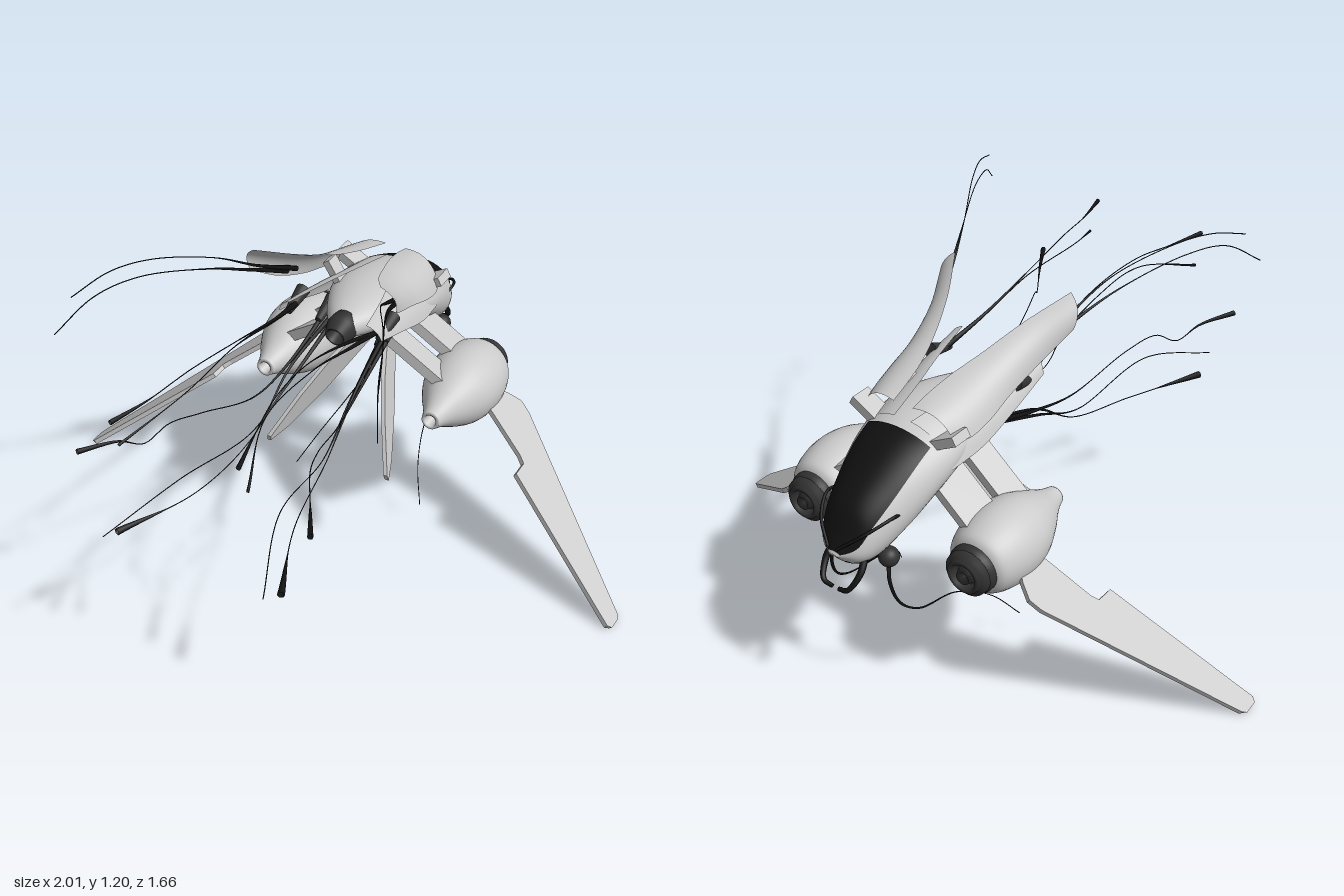
import * as THREE from 'three';

const V = (p) => new THREE.Vector3(...p);
const spline = (pts) => new THREE.CatmullRomCurve3(pts.map(V));
const grey = new THREE.MeshStandardMaterial({ color: 0xcccccc, side: THREE.DoubleSide });
const dark = new THREE.MeshStandardMaterial({ color: 0x111111, side: THREE.DoubleSide });
const iron = new THREE.MeshStandardMaterial({ color: 0x333333, side: THREE.DoubleSide });

// Smooth surface from a rule f(u, v) -> [x, y, z]
function surface(nu, nv, f) {
  const pos = [], idx = [];
  for (let i = 0; i <= nu; i++) for (let j = 0; j <= nv; j++) pos.push(...f(i / nu, j / nv));
  for (let i = 0; i < nu; i++) for (let j = 0; j < nv; j++) {
    const a = i * (nv + 1) + j, b = a + nv + 1;
    idx.push(a, b, a + 1, b, b + 1, a + 1);
  }
  const g = new THREE.BufferGeometry();
  g.setAttribute('position', new THREE.Float32BufferAttribute(pos, 3));
  g.setIndex(idx);
  g.computeVertexNormals();
  return g;
}

// Mirror a geometry across x = 0, keeping faces outward
function mirrored(geo) {
  const g = geo.clone().scale(-1, 1, 1);
  const n = g.attributes.position.count;
  const src = g.index ? Array.from(g.index.array) : Array.from({ length: n }, (_, i) => i);
  for (let i = 0; i < src.length; i += 3) [src[i], src[i + 1]] = [src[i + 1], src[i]];
  g.setIndex(src);
  return g;
}

// Flat plate: outline in (u, v), bent into place by map(u, v, thickness)
function plate(outline, thick, map) {
  const shape = new THREE.Shape(outline.map(([u, v]) => new THREE.Vector2(u, v)));
  const g = new THREE.ExtrudeGeometry(shape, { depth: thick, bevelEnabled: false });
  const p = g.attributes.position;
  for (let i = 0; i < p.count; i++) p.setXYZ(i, ...map(p.getX(i), p.getY(i), p.getZ(i) - thick / 2));
  g.computeVertexNormals();
  return g;
}

// Tube whose radius follows radius(t)
function taperTube(pts, radius, n = 48, sides = 6) {
  const curve = spline(pts);
  const g = new THREE.TubeGeometry(curve, n, 1, sides);
  const p = g.attributes.position, q = new THREE.Vector3();
  for (let i = 0; i < p.count; i++) {
    const t = Math.floor(i / (sides + 1)) / n, c = curve.getPointAt(t);
    q.fromBufferAttribute(p, i).sub(c).multiplyScalar(radius(t)).add(c);
    p.setXYZ(i, q.x, q.y, q.z);
  }
  return g;
}

// Curved wing case between an inner and an outer edge
function shell(inner, outer, bulge) {
  const a = spline(inner), b = spline(outer);
  return surface(24, 10, (u, v) => {
    const p = a.getPoint(u), q = b.getPoint(u), h = bulge * 4 * v * (1 - v);
    return [p.x + (q.x - p.x) * v - (q.y - p.y) * h, p.y + (q.y - p.y) * v + (q.x - p.x) * h, p.z + (q.z - p.z) * v];
  });
}

// Box spanning two points
function beam(a, b, w, d) {
  const s = V(a), e = V(b), dir = e.clone().sub(s);
  const g = new THREE.BoxGeometry(w, dir.length(), d);
  g.applyQuaternion(new THREE.Quaternion().setFromUnitVectors(new THREE.Vector3(0, 1, 0), dir.clone().normalize()));
  return g.translate((s.x + e.x) / 2, (s.y + e.y) / 2, (s.z + e.z) / 2);
}

const lathe = (pts) => new THREE.LatheGeometry(pts.map(([r, z]) => new THREE.Vector2(r, z)), 36).rotateX(Math.PI / 2);

export function createModel() {
  const root = new THREE.Group();
  const add = (name, geo, mat = grey) => {
    const m = new THREE.Mesh(geo, mat);
    m.name = name;
    root.add(m);
  };
  const pair = (name, geo, mat) => {
    add(name + 'Left', geo, mat);
    add(name + 'Right', mirrored(geo), mat);
  };

  // Fuselage: top line carries half width in x, bottom line closes each section
  const top = spline([[0.015, 0.58, -0.83], [0.07, 0.63, -0.8], [0.1, 0.7, -0.76], [0.13, 0.765, -0.68],
    [0.155, 0.83, -0.57], [0.165, 0.865, -0.45], [0.14, 0.875, -0.32], [0.09, 0.86, -0.2], [0.045, 0.84, -0.12]]);
  const bottom = spline([[0, 0.57, -0.825], [0, 0.525, -0.78], [0, 0.51, -0.72], [0, 0.55, -0.62],
    [0, 0.61, -0.52], [0, 0.67, -0.42], [0, 0.73, -0.3], [0, 0.75, -0.19], [0, 0.765, -0.13]]);
  const skin = (u, angle, k = 1) => {
    const t = top.getPoint(u), b = bottom.getPoint(u), c = Math.cos(angle) * k;
    return [t.x * Math.sin(angle) * k, (t.y + b.y + (t.y - b.y) * c) / 2, (t.z + b.z + (t.z - b.z) * c) / 2];
  };
  add('fuselage', surface(48, 40, (u, v) => skin(u, Math.PI * (1 + 2 * v))));
  add('canopy', surface(30, 20, (u, v) => skin(0.02 + 0.53 * u, (v * 2 - 1) * (1.15 - 0.38 * u), 1.025)), dark);
  add('chin', surface(20, 12, (u, v) => skin(0.06 + 0.36 * u, Math.PI + (v * 2 - 1) * 0.75, 1.03)), dark);

  // Tail nozzle
  const nozzle = lathe([[0, -0.04], [0.045, -0.04], [0.05, 0], [0.036, 0.04], [0.028, 0.04], [0.022, 0], [0, 0]]);
  add('tailNozzle', nozzle.rotateX(0.2).translate(0, 0.8, -0.125), iron);

  // Wing cases
  pair('upperWingCase', shell(
    [[0.035, 0.91, -0.495], [0.04, 0.93, -0.43], [0.055, 0.955, -0.34], [0.085, 0.985, -0.24], [0.14, 1.045, -0.1], [0.215, 1.11, 0.035]],
    [[0.165, 0.84, -0.475], [0.185, 0.83, -0.43], [0.195, 0.85, -0.34], [0.195, 0.885, -0.24], [0.215, 0.945, -0.1], [0.25, 1.01, 0]], 0.2));
  pair('lowerWingCase', shell(
    [[0.03, 0.865, -0.5], [0.06, 0.885, -0.35], [0.1, 0.895, -0.2], [0.135, 0.908, -0.035]],
    [[0.165, 0.74, -0.48], [0.18, 0.76, -0.35], [0.185, 0.81, -0.2], [0.18, 0.855, -0.05]], 0.15));
  pair('wingCaseHinge', beam([0.1, 0.81, -0.47], [0.19, 0.86, -0.47], 0.03, 0.07));
  pair('wingCaseStrut', beam([0.08, 0.8, -0.32], [0.15, 0.91, -0.32], 0.025, 0.05));

  // Belly blades
  pair('bellyBlade', plate(
    [[-0.035, 0.34], [-0.11, 0.362], [-0.25, 0.45], [-0.43, 0.6], [-0.37, 0.67], [-0.22, 0.58], [-0.13, 0.49], [-0.03, 0.36]], 0.014,
    (z, y, w) => [0.2 - 0.25 * (y - 0.34) + 0.3 * (z + 0.1) + w, y, z]));

  // Side engines
  const hull = new THREE.SplineCurve([[0.07, -0.57], [0.1, -0.55], [0.121, -0.49], [0.127, -0.42], [0.115, -0.345],
    [0.085, -0.275], [0.057, -0.225], [0.04, -0.19], [0.03, -0.16]].map((p) => new THREE.Vector2(...p)))
    .getPoints(40).map((p) => [p.x, p.y]);
  const place = (g) => g.translate(0, 0, 0.42).rotateX(-0.05).translate(0.305, 0.513, -0.42);
  pair('engineHull', place(lathe([...hull, [0.02, -0.16], [0.016, -0.2], [0, -0.2]])));
  pair('engineIntake', place(lathe([[0, -0.6], [0.022, -0.625], [0.03, -0.6], [0.04, -0.6], [0.043, -0.622], [0.056, -0.622],
    [0.058, -0.61], [0.072, -0.608], [0.075, -0.59], [0.068, -0.585], [0.08, -0.58], [0.08, -0.555], [0.06, -0.54]])), iron);
  for (const [name, z, d] of [['frontPylon', -0.47, 0.12], ['rearPylon', -0.32, 0.09]])
    pair(name, beam([0.09, 0.71, z + 0.02], [0.27, 0.585, z], 0.035, d));

  // Outer wings, sloping down from the engines
  pair('outerWing', plate(
    [[0.38, -0.46], [0.425, -0.5], [0.465, -0.522], [0.5, -0.51], [0.99, -0.155], [1, -0.14], [0.998, -0.09], [0.985, -0.08],
      [0.57, -0.255], [0.57, -0.315], [0.55, -0.33], [0.38, -0.39]], 0.016,
    (x, z, w) => [x + w * 0.6, Math.max(0, 0.8 * (1 - x) + w * 0.8), z]));

  // Head: eyes, mandibles and feelers
  pair('eye', new THREE.SphereGeometry(0.032, 20, 14).translate(0.09, 0.525, -0.69), iron);
  pair('mandible', taperTube([[0.06, 0.55, -0.76], [0.065, 0.51, -0.79], [0.045, 0.465, -0.825], [0.012, 0.455, -0.825]],
    (t) => 0.012 - 0.005 * t, 16, 8), dark);
  pair('browRail', taperTube([[0.11, 0.66, -0.64], [0.12, 0.68, -0.7], [0.08, 0.65, -0.78], [0.015, 0.6, -0.83]], () => 0.005, 16), dark);
  pair('feeler', taperTube([[0.09, 0.52, -0.69], [0.11, 0.46, -0.715], [0.125, 0.37, -0.69], [0.14, 0.31, -0.62],
    [0.15, 0.27, -0.46], [0.19, 0.19, -0.33], [0.24, 0.09, -0.25]], (t) => 0.0015 + 0.006 * (1 - t) ** 3), dark);

  // Trailing tendrils: thick root, hair-thin middle, some with a club at the end
  const tendrils = [
    [0, [[0.18, 0.95, -0.16], [0.22, 1.04, 0.01], [0.28, 1.13, 0.16], [0.38, 1.19, 0.34], [0.44, 1.195, 0.46], [0.49, 1.16, 0.58]]],
    [0, [[0.19, 0.96, -0.12], [0.24, 1.03, 0.03], [0.3, 1.09, 0.17], [0.4, 1.145, 0.38], [0.46, 1.135, 0.52], [0.52, 1.055, 0.635]]],
    [0.006, [[0.16, 0.85, -0.12], [0.13, 0.9, 0.05], [0.12, 0.965, 0.3], [0.14, 0.99, 0.52], [0.17, 0.98, 0.68], [0.205, 0.978, 0.82]]],
    [0.003, [[0.15, 0.86, -0.1], [0.14, 0.89, 0.06], [0.13, 0.94, 0.3], [0.13, 0.94, 0.56], [0.21, 0.875, 0.785]]],
    [0.007, [[0.12, 0.76, -0.24], [0.13, 0.69, -0.02], [0.15, 0.665, 0.16], [0.2, 0.73, 0.385], [0.24, 0.75, 0.5], [0.28, 0.71, 0.57], [0.32, 0.75, 0.64], [0.385, 0.765, 0.755]]],
    [0.01, [[0.1, 0.75, -0.24], [0.12, 0.68, 0], [0.13, 0.55, 0.2], [0.17, 0.5, 0.47], [0.28, 0.495, 0.74]]],
    [0, [[0.09, 0.74, -0.24], [0.11, 0.64, 0.03], [0.13, 0.57, 0.22], [0.17, 0.61, 0.56], [0.27, 0.54, 0.82]]],
  ];
  tendrils.forEach(([club, pts], i) =>
    pair('tendril' + (i + 1), taperTube(pts, (t) => 0.0016 + 0.008 * Math.max(0, 1 - 2.2 * t) ** 1.3 + club * Math.max(0, 6 * t - 5), 64), dark));

  // Tendril sockets
  for (const [x, y, z] of [[0.12, 0.77, -0.24], [0.09, 0.735, -0.25], [0.16, 0.86, -0.12]])
    pair('tendrilSocket', new THREE.CylinderGeometry(0.012, 0.024, 0.1, 16).rotateX(Math.PI / 2 + 0.3).translate(x, y, z), iron);

  return root;
}
